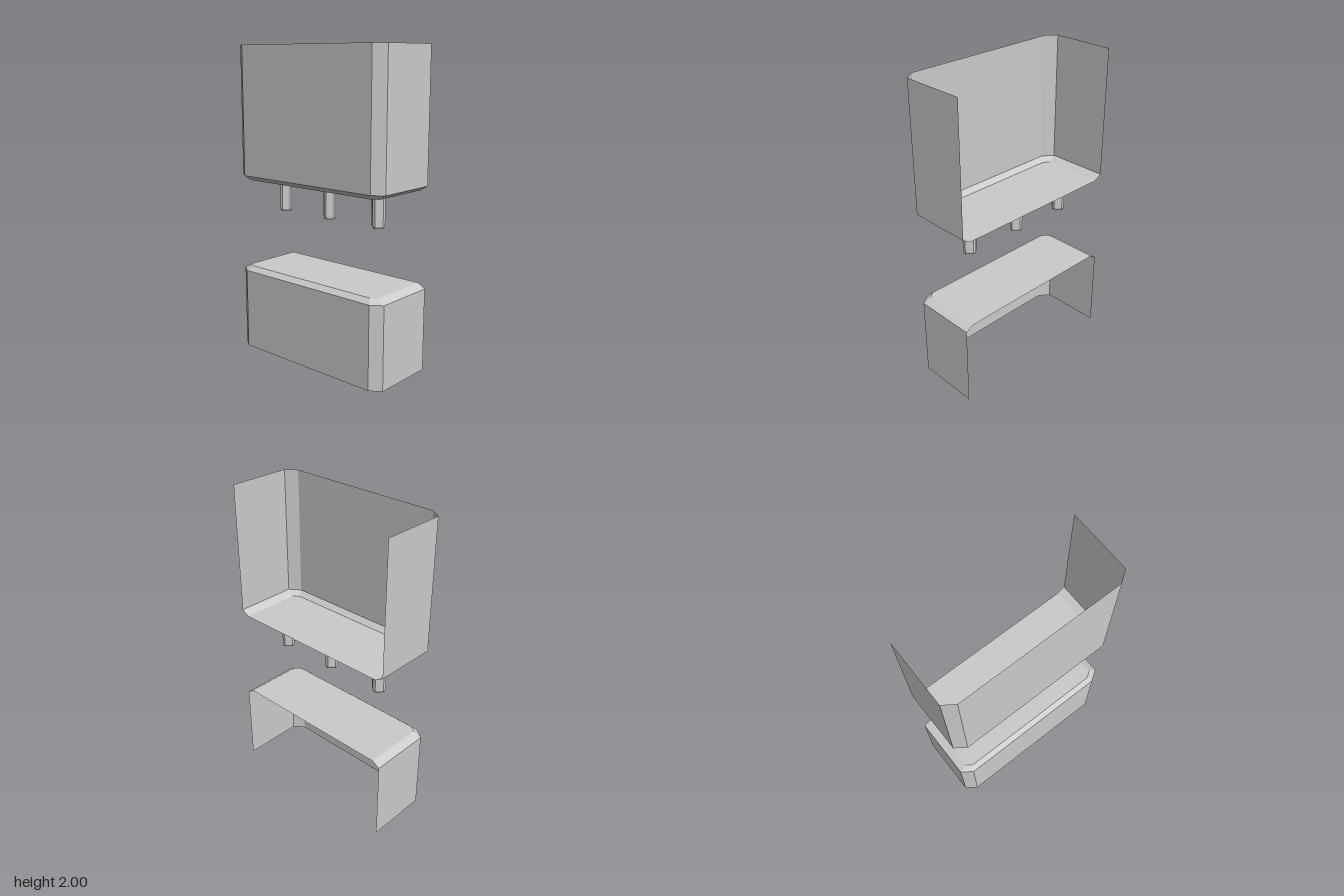
import * as THREE from 'three';

const material = new THREE.MeshStandardMaterial({ color: 0xcccccc, flatShading: true, side: THREE.DoubleSide });

// Outlines in [x, z]
const rim = [[-0.59, -0.23], [-0.59, 0.18], [-0.52, 0.23], [0.52, 0.23], [0.59, 0.18], [0.59, -0.23]];
const plate = [[-0.54, -0.23], [-0.54, 0.168], [-0.5, 0.197], [0.5, 0.197], [0.54, 0.168], [0.54, -0.23]];
const pinOutline = [[-0.045, -0.01], [-0.045, 0.01], [-0.01, 0.045], [0.01, 0.045],
  [0.045, 0.01], [0.045, -0.01], [0.01, -0.045], [-0.01, -0.045]];

const at = (outline, y, scale = 1) => outline.map(([x, z]) => [x * scale, y, z * scale]);

// Faceted skin through sections ordered bottom to top, with optional end caps
function skin(name, sections, { closed = false, capBottom = false, capTop = false }) {
  const p = [];
  const tri = (a, b, c) => p.push(...a, ...b, ...c);
  for (let s = 0; s < sections.length - 1; s++) {
    const lo = sections[s], hi = sections[s + 1], n = lo.length;
    for (let i = 0; i < (closed ? n : n - 1); i++) {
      const j = (i + 1) % n;
      tri(lo[i], lo[j], hi[j]);
      tri(lo[i], hi[j], hi[i]);
    }
  }
  const first = sections[0], last = sections[sections.length - 1];
  for (let i = 1; i < first.length - 1; i++) {
    if (capBottom) tri(first[0], first[i + 1], first[i]);
    if (capTop) tri(last[0], last[i], last[i + 1]);
  }
  const g = new THREE.BufferGeometry();
  g.setAttribute('position', new THREE.Float32BufferAttribute(p, 3));
  g.computeVertexNormals();
  const mesh = new THREE.Mesh(g, material);
  mesh.name = name;
  return mesh;
}

export function createModel() {
  const group = new THREE.Group();
  group.name = 'splitShell';

  // Upper shell: open at the top and back, bevelled floor
  group.add(skin('upperShell', [at(plate, 1.14), at(rim, 1.17), at(rim, 2)], { capBottom: true }));

  // Lower shell: open at the bottom and back, bevelled roof
  group.add(skin('lowerShell', [at(rim, 0), at(rim, 0.53), at(plate, 0.56)], { capTop: true }));

  // Three pins with trimmed corners hanging under the upper shell
  [-0.405, -0.015, 0.375].forEach((x, i) => {
    const pin = skin(`pin${i + 1}`,
      [at(pinOutline, 0.918, 0.85), at(pinOutline, 0.932), at(pinOutline, 1.14)],
      { closed: true, capBottom: true });
    pin.position.set(x, 0, -0.033);
    group.add(pin);
  });
  return group;
}
